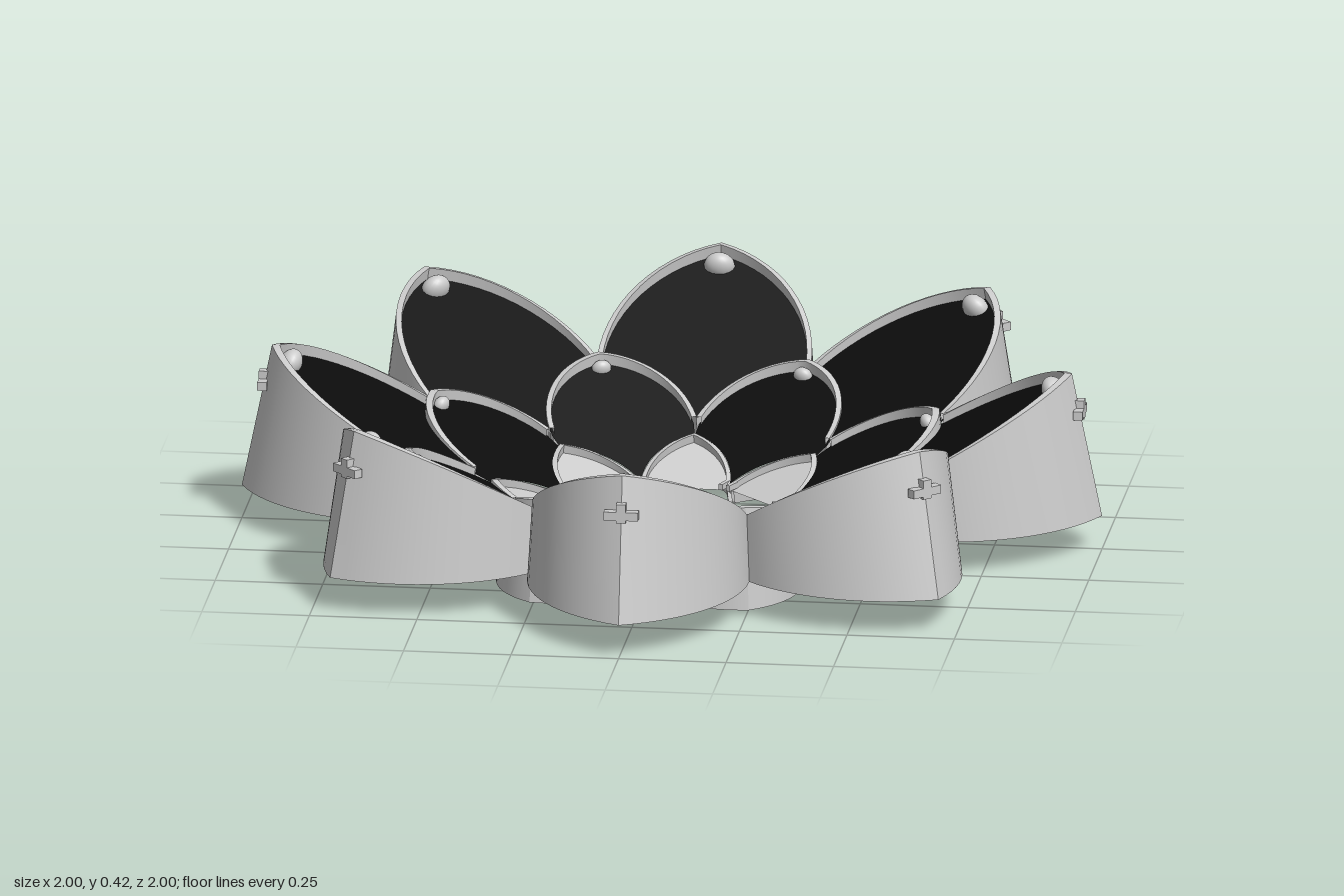
import * as THREE from 'three';
import { toCreasedNormals } from 'three/addons/utils/BufferGeometryUtils.js';

const COUNT = 8, STEP = Math.PI / 4, HALF = STEP / 2, N = 14;
const grey = new THREE.MeshStandardMaterial({ color: 0xcccccc, side: THREE.DoubleSide });
const dark = new THREE.MeshStandardMaterial({ color: 0x0c0c0c, side: THREE.DoubleSide });

// Each ring: pointed arch at the top (tip, side, y, slope) and at the skirt foot
const outer = { tip: 0.93, side: 0.6, y: 0.42, slope: 0.56, footTip: 1.0, footSide: 0.62, footY: 0.08, wall: 0.012, turn: 0 };
const middle = { tip: 0.64, side: 0.425, y: 0.25, slope: 0.5, footTip: 0.666, footSide: 0.44, footY: 0.01, wall: 0.012, turn: HALF };
const inner = { tip: 0.42, side: 0.25, y: 0.115, slope: 0.4, footTip: 0.44, footSide: 0.26, footY: 0, wall: 0.01, turn: 0 };

const planeY = (ring, r) => ring.y - ring.slope * (ring.tip - r);

// Half arch from the tip (x = 0) to the sector border, as (x, radius) points
function halfArch(tip, side, inset = 0) {
  const w = side * Math.tan(HALF) - inset, d = tip - inset * 1.5 - side;
  const R = (d * d + w * w) / (2 * w);
  const end = Math.asin(Math.min(1, d / R));
  const pts = [];
  for (let i = 0; i <= N; i++) {
    const a = end * (1 - i / N);
    pts.push(new THREE.Vector2(Math.cos(a) * R - (R - w), side + Math.sin(a) * R));
  }
  return pts;
}

// Whole arch from left border over the tip to the right border
function arch(tip, side, inset) {
  const h = halfArch(tip, side, inset);
  const left = h.slice(1).reverse().map(p => new THREE.Vector2(-p.x, p.y));
  return [...left, ...h];
}

// Leaning wall: four-cornered section swept along the arch
function skirtGeometry(ring) {
  const foot = arch(ring.footTip, ring.footSide, 0), top = arch(ring.tip, ring.side, 0);
  const topIn = arch(ring.tip, ring.side, ring.wall), footIn = arch(ring.footTip, ring.footSide, ring.wall);
  const pos = [], idx = [];
  for (let i = 0; i < foot.length; i++) {
    const y = planeY(ring, top[i].y);
    pos.push(foot[i].x, ring.footY, foot[i].y, top[i].x, y, top[i].y);
    pos.push(topIn[i].x, y, topIn[i].y, footIn[i].x, ring.footY, footIn[i].y);
    if (i === 0) continue;
    for (let k = 0; k < 4; k++) {
      const a = (i - 1) * 4 + k, b = (i - 1) * 4 + (k + 1) % 4;
      idx.push(a, a + 4, b, b, a + 4, b + 4);
    }
  }
  const g = new THREE.BufferGeometry();
  g.setAttribute('position', new THREE.Float32BufferAttribute(pos, 3));
  g.setIndex(idx);
  return toCreasedNormals(g, 0.5);
}

// Sloping panel: closed by the arches of the next ring in, or by a straight edge
function panelGeometry(ring, next, sink) {
  const pts = arch(ring.tip, ring.side, ring.wall * 0.5);
  if (next) {
    const h = halfArch(next.tip, next.side);
    const c = Math.cos(HALF), s = Math.sin(HALF);
    // inner half of the neighbouring arch, turned into this petal's sector
    const right = h.map(p => new THREE.Vector2(-p.x * c + p.y * s, p.x * s + p.y * c));
    pts.push(...right);
    pts.push(...right.slice(0, -1).reverse().map(p => new THREE.Vector2(-p.x, p.y)));
  }
  const g = new THREE.ShapeGeometry(new THREE.Shape(pts));
  const p = g.attributes.position;
  for (let i = 0; i < p.count; i++) {
    const r = p.getY(i);
    p.setXYZ(i, -p.getX(i), planeY(ring, r) - sink, r);
  }
  g.computeVertexNormals();
  return g;
}

function add(group, name, geometry, material, x = 0, y = 0, z = 0) {
  const m = new THREE.Mesh(geometry, material);
  m.name = name;
  m.position.set(x, y, z);
  group.add(m);
  return m;
}

// Cross-shaped clip outside the skirt and a rounded knob on the panel
function addClip(petal, ring, size, drop) {
  const y = ring.y - drop;
  const z = ring.tip + (ring.footTip - ring.tip) * drop / (ring.y - ring.footY);
  add(petal, 'clipBar', new THREE.BoxGeometry(0.08 * size, 0.02 * size, 0.022 * size), grey, 0, y, z);
  add(petal, 'clipStem', new THREE.BoxGeometry(0.022 * size, 0.045 * size, 0.03 * size), grey, 0, y + 0.006, z - 0.004);
  const r = ring.tip - 0.042 * size;
  const knob = add(petal, 'knob', new THREE.SphereGeometry(0.036 * size, 16, 8, 0, Math.PI * 2, 0, Math.PI / 2),
    grey, 0, planeY(ring, r) - 0.02, r);
  knob.scale.set(1, 1, 0.75);
  knob.rotation.x = -Math.atan(ring.slope);
}

function buildRing(name, ring, next, material, sink, extras) {
  const g = new THREE.Group();
  g.name = name;
  const skirt = skirtGeometry(ring), panel = panelGeometry(ring, next, sink);
  for (let i = 0; i < COUNT; i++) {
    const petal = new THREE.Group();
    petal.name = 'petal';
    petal.rotation.y = ring.turn + i * STEP;
    add(petal, 'skirt', skirt, grey);
    add(petal, 'panel', panel, material);
    extras(petal);
    g.add(petal);
  }
  return g;
}

export function createModel() {
  const model = new THREE.Group();
  model.name = 'petalPanelArray';
  model.add(buildRing('outerPetals', outer, middle, dark, 0.02, p => addClip(p, outer, 1, 0.09)));
  model.add(buildRing('middlePetals', middle, inner, dark, 0.018, p => addClip(p, middle, 0.65, 0.11)));
  model.add(buildRing('innerPetals', inner, null, grey, 0.015, p => {
    // Small prongs reaching into the central opening
    for (const s of [-1, 1]) {
      const prong = add(p, 'prong', new THREE.BoxGeometry(0.01, 0.014, 0.045), grey, s * 0.092, 0.045, 0.25);
      prong.rotation.y = s * 0.35;
    }
  }));
  return model;
}
